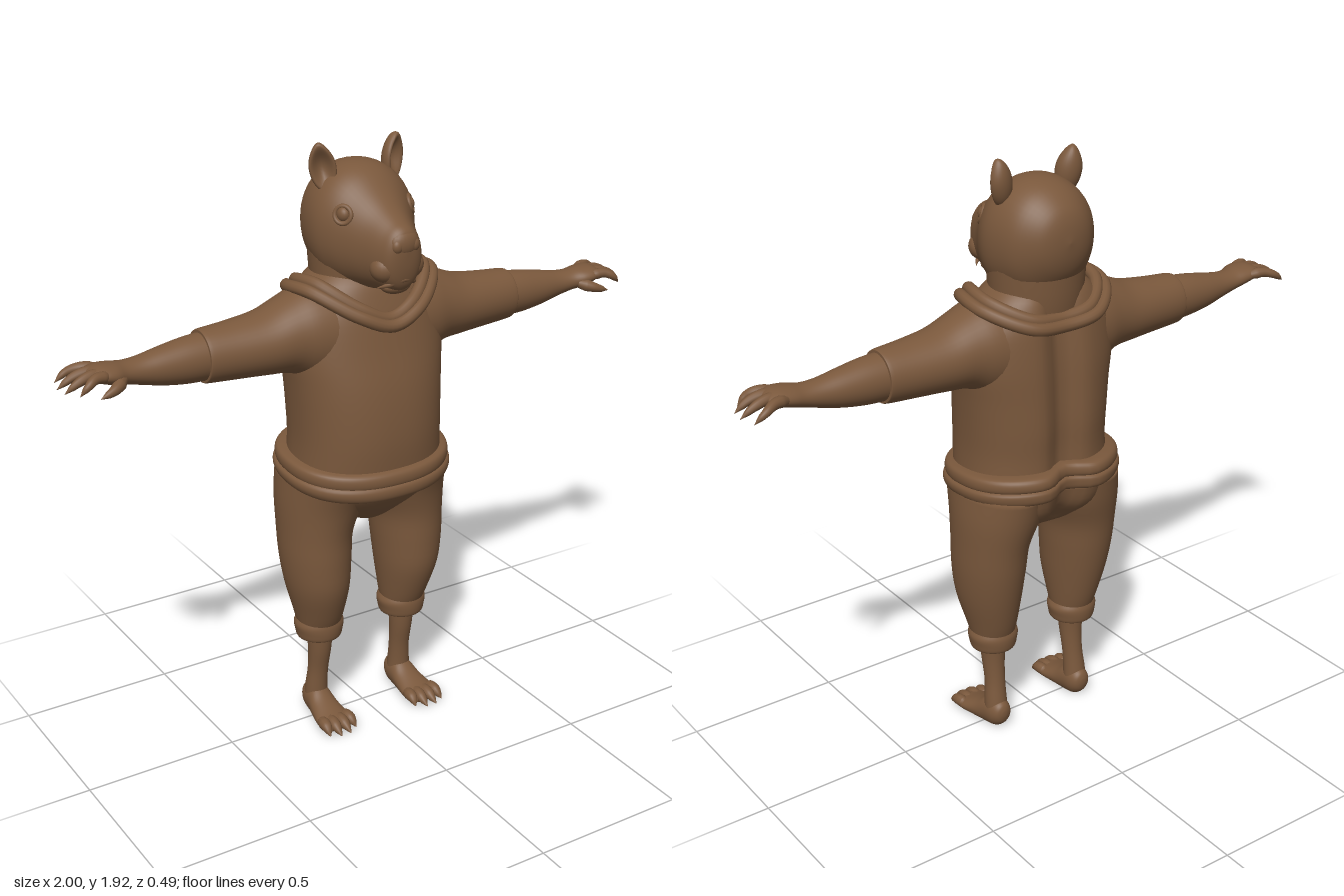
import * as THREE from 'three';
import { mergeVertices } from 'three/addons/utils/BufferGeometryUtils.js';

const fur = new THREE.MeshStandardMaterial({ color: 0x7a583c });
fur.name = 'warm brown';

const smooth = (g) => {
  g.deleteAttribute('uv');
  g.deleteAttribute('normal');
  const m = mergeVertices(g, 1e-5);
  m.computeVertexNormals();
  return m;
};

const cubic = (a, b, c, d, t) => b + 0.5 * t * (c - a + t * (2 * a - 5 * b + 4 * c - d + t * (3 * (b - c) + d - a)));

// Capped loft through [t, centreA, centreB, radiusA, radiusB] sections along an axis.
function loft(axis, rows, { power = 1, rule = null, seg = 40, steps = 4 } = {}) {
  const rings = [];
  for (let i = 0; i < rows.length - 1; i++) {
    const q = [rows[Math.max(i - 1, 0)], rows[i], rows[i + 1], rows[Math.min(i + 2, rows.length - 1)]];
    for (let k = 0; k < steps; k++) rings.push(rows[0].map((_, c) => cubic(q[0][c], q[1][c], q[2][c], q[3][c], k / steps)));
  }
  rings.push(rows[rows.length - 1]);
  const pts = [], idx = [];
  const add = (t, a, b) => {
    const p = axis === 'x' ? [t, a, b] : axis === 'y' ? [a, t, b] : [a, b, t];
    const v = new THREE.Vector3(...p);
    if (rule) rule(v);
    pts.push(v.x, v.y, v.z);
  };
  const bend = (v) => Math.sign(v) * Math.abs(v) ** power;
  for (const [t, a, b, ra, rb] of rings) {
    for (let j = 0; j < seg; j++) {
      const w = (j / seg) * Math.PI * 2;
      add(t, a + ra * bend(Math.cos(w)), b + rb * bend(Math.sin(w)));
    }
  }
  const first = rings[0], last = rings[rings.length - 1], n = rings.length;
  add(first[0], first[1], first[2]);
  add(last[0], last[1], last[2]);
  for (let j = 0; j < seg; j++) {
    const k = (j + 1) % seg;
    for (let i = 0; i < n - 1; i++) {
      const a = i * seg + j, b = i * seg + k;
      idx.push(a, b, b + seg, a, b + seg, a + seg);
    }
    idx.push(n * seg, k, j, n * seg + 1, (n - 1) * seg + j, (n - 1) * seg + k);
  }
  // Turn the faces outward whatever the axis and side.
  let volume = 0;
  const P = (i) => new THREE.Vector3().fromArray(pts, i * 3);
  for (let i = 0; i < idx.length; i += 3) volume += P(idx[i]).dot(P(idx[i + 1]).cross(P(idx[i + 2])));
  if (volume < 0) idx.reverse();
  const g = new THREE.BufferGeometry();
  g.setAttribute('position', new THREE.Float32BufferAttribute(pts, 3));
  g.setIndex(idx);
  return smooth(g);
}

// Tube along a curve whose radius follows a list; closed loops keep one radius.
function taper(points, radii, { closed = false, n = 24, m = 12 } = {}) {
  const curve = new THREE.CatmullRomCurve3(points.map((p) => new THREE.Vector3(...p)), closed);
  const g = new THREE.TubeGeometry(curve, n, 1, m, closed);
  const pos = g.attributes.position, v = new THREE.Vector3();
  for (let i = 0; i < pos.count; i++) {
    const u = Math.floor(i / (m + 1)) / n, c = curve.getPointAt(u);
    const f = u * (radii.length - 1), k = Math.min(Math.floor(f), Math.max(radii.length - 2, 0));
    const r = radii.length < 2 ? radii[0] : THREE.MathUtils.lerp(radii[k], radii[k + 1], f - k);
    v.fromBufferAttribute(pos, i).sub(c).multiplyScalar(r).add(c);
    pos.setXYZ(i, v.x, v.y, v.z);
  }
  return smooth(g);
}

// Soft groove down the middle of the back.
const groove = (depth, width, lift = 0) => (v) => {
  v.y -= lift * v.z;
  if (v.z < 0) v.z += depth * Math.exp(-((v.x / width) ** 2)) * Math.min(1, -v.z / 0.15);
};

export function createModel() {
  const model = new THREE.Group();
  const part = (name, g) => {
    const mesh = new THREE.Mesh(g, fur);
    mesh.name = name;
    model.add(mesh);
    return mesh;
  };
  const ball = (name, p, s) => {
    const mesh = part(name, new THREE.SphereGeometry(1, 24, 16));
    mesh.position.set(...p);
    mesh.scale.set(...s);
    return mesh;
  };

  // Clothing on the body
  part('sweater', loft('y', [
    [0.88, 0, 0, 0.25, 0.205], [1.0, 0, 0.007, 0.243, 0.207], [1.1, 0, 0.004, 0.246, 0.206],
    [1.2, 0, -0.001, 0.254, 0.197], [1.3, 0, -0.01, 0.265, 0.182], [1.4, 0, -0.017, 0.255, 0.165],
    [1.46, 0, -0.022, 0.22, 0.152], [1.51, 0, -0.025, 0.175, 0.135], [1.54, 0, -0.025, 0.14, 0.11],
  ], { power: 0.88, rule: groove(0.045, 0.05), seg: 64 }));
  const hemRule = groove(0.055, 0.06, 0.08);
  part('sweaterHem', loft('y', [
    [0.9, 0, 0, 0.255, 0.215], [0.912, 0, -0.006, 0.272, 0.235], [0.935, 0, -0.006, 0.276, 0.238],
    [0.952, 0, -0.004, 0.268, 0.228], [0.958, 0, 0, 0.24, 0.2],
  ], { power: 0.88, rule: hemRule, seg: 64 }));
  part('waistband', loft('y', [
    [0.86, 0, 0, 0.25, 0.205], [0.868, 0, -0.006, 0.27, 0.235], [0.89, 0, -0.006, 0.282, 0.243],
    [0.91, 0, -0.006, 0.278, 0.238], [0.918, 0, 0, 0.25, 0.21],
  ], { power: 0.88, rule: hemRule, seg: 64 }));
  part('trouserSeat', loft('y', [
    [0.7, 0, -0.01, 0.01, 0.02], [0.715, 0, -0.01, 0.06, 0.08], [0.76, 0, -0.012, 0.15, 0.135],
    [0.82, 0, -0.012, 0.235, 0.19], [0.89, 0, -0.005, 0.268, 0.22],
  ], { power: 0.9, rule: groove(0.05, 0.05), seg: 64 }));

  // V-shaped rolled collar, dropping again at the back
  const collar = (name, grow, drop, r) => {
    const half = [[0.1, 1.44, 0.148], [0.2, 1.508, 0.05], [0.205, 1.495, -0.07], [0.11, 1.45, -0.165]];
    const loop = [[0, 1.4, 0.165], ...half, [0, 1.435, -0.165], ...half.map(([x, y, z]) => [-x, y, z]).reverse()];
    part(name, taper(loop.map(([x, y, z]) => [x * grow, y - drop, z * grow]), [r], { closed: true, n: 96 }));
  };
  collar('innerCollar', 0.95, -0.012, 0.02);
  collar('outerCollar', 1.08, 0.006, 0.02);

  // Head and muzzle
  part('neck', loft('y', [[1.4, 0, -0.03, 0.14, 0.12], [1.5, 0, -0.03, 0.15, 0.135], [1.62, 0, -0.03, 0.16, 0.14]]));
  part('head', loft('z', [
    [-0.2, 0, 1.69, 0.004, 0.004], [-0.192, 0, 1.69, 0.055, 0.06], [-0.17, 0, 1.685, 0.1, 0.11],
    [-0.12, 0, 1.675, 0.146, 0.163], [-0.06, 0, 1.67, 0.166, 0.188], [0, 0, 1.665, 0.17, 0.192],
    [0.05, 0, 1.66, 0.154, 0.177], [0.1, 0, 1.645, 0.124, 0.152], [0.15, 0, 1.63, 0.096, 0.128],
    [0.2, 0, 1.618, 0.075, 0.108], [0.23, 0, 1.62, 0.06, 0.09], [0.245, 0, 1.635, 0.036, 0.055],
    [0.25, 0, 1.645, 0.004, 0.006],
  ], { power: 0.95, seg: 48 }));
  ball('nose', [0, 1.662, 0.226], [0.05, 0.042, 0.028]);
  ball('chin', [0, 1.525, 0.185], [0.05, 0.026, 0.034]);
  part('mouth', taper([[-0.072, 1.525, 0.185], [-0.045, 1.538, 0.212], [0, 1.555, 0.232], [0.045, 1.538, 0.212], [0.072, 1.525, 0.185]],
    [0, 0.009, 0.009, 0.009, 0]));

  for (const s of [1, -1]) {
    const side = s > 0 ? 'left' : 'right';
    const M = (rows) => rows.map(([x, ...r]) => [x * s, ...r]);

    // Face details
    ball(side + 'Cheek', [s * 0.038, 1.585, 0.19], [0.05, 0.045, 0.045]);
    ball(side + 'Nostril', [s * 0.028, 1.658, 0.236], [0.019, 0.022, 0.016]);
    ball(side + 'Eye', [s * 0.112, 1.73, 0.075], [0.02, 0.024, 0.024]);
    const lid = part(side + 'Eyelid', new THREE.TorusGeometry(0.026, 0.007, 10, 28));
    lid.position.set(s * 0.118, 1.73, 0.082);
    lid.rotation.set(-0.25, s * 0.95, 0, 'YXZ');

    // Cupped, pointed ear
    const ear = new THREE.SphereGeometry(1, 28, 24);
    const p = ear.attributes.position;
    for (let i = 0; i < p.count; i++) {
      const x = p.getX(i), y = p.getY(i), z = p.getZ(i);
      const w = y > 0 ? 1 - 0.35 * y * y : 1;
      p.setXYZ(i, x * w * 0.041, y * 0.075, z > 0 ? z * 0.035 - 0.05 * z * z * z : z * 0.035);
    }
    const earMesh = part(side + 'Ear', smooth(ear));
    earMesh.position.set(s * 0.124, 1.85, -0.022);
    earMesh.rotation.set(0, s * 0.45, s * -0.18);

    // Sleeve, forearm and hand
    part(side + 'Sleeve', loft('x', M([
      [0.1, 1.35, -0.012, 0.165, 0.145], [0.2, 1.358, -0.012, 0.149, 0.134], [0.27, 1.362, -0.012, 0.119, 0.118],
      [0.35, 1.351, -0.012, 0.099, 0.106], [0.45, 1.347, -0.013, 0.089, 0.092], [0.54, 1.346, -0.014, 0.083, 0.08],
      [0.552, 1.346, -0.014, 0.079, 0.075],
    ])));
    part(side + 'Forearm', loft('x', M([
      [0.52, 1.346, -0.014, 0.074, 0.07], [0.6, 1.344, -0.013, 0.07, 0.065], [0.68, 1.343, -0.012, 0.058, 0.056],
      [0.75, 1.345, -0.01, 0.043, 0.046], [0.8, 1.35, -0.006, 0.035, 0.046], [0.84, 1.358, 0, 0.033, 0.056],
      [0.88, 1.365, 0, 0.027, 0.057], [0.91, 1.365, -0.005, 0.017, 0.045], [0.92, 1.364, -0.005, 0.004, 0.02],
    ])));
    [[-0.042, -0.075, 0.985], [-0.014, -0.02, 1.0], [0.014, 0.025, 0.995], [0.038, 0.065, 0.965]].forEach(([z0, z1, tip], i) =>
      part(`${side}Finger${i + 1}`, taper(M([[0.86, 1.364, z0], [0.91, 1.37, (z0 + z1) / 2], [(0.91 + tip) / 2, 1.358, z1], [tip, 1.332, z1]]),
        [0.012, 0.018, 0.016, 0.014, 0.01, 0])));
    part(side + 'Thumb', taper(M([[0.82, 1.345, 0.035], [0.86, 1.333, 0.068], [0.91, 1.318, 0.08]]), [0.015, 0.02, 0.016, 0.011, 0]));

    // Trouser leg with gathered cuff
    part(side + 'TrouserLeg', loft('y', [
      [0.345, 0.16, -0.013, 0.07, 0.07], [0.4, 0.163, -0.01, 0.081, 0.092], [0.5, 0.17, -0.006, 0.1, 0.122],
      [0.6, 0.173, -0.012, 0.11, 0.137], [0.7, 0.17, -0.018, 0.115, 0.148], [0.8, 0.152, -0.02, 0.132, 0.172],
      [0.89, 0.14, -0.01, 0.135, 0.2],
    ].map(([y, x, ...r]) => [y, x * s, ...r])));
    part(side + 'Cuff', loft('y', [
      [0.3, s * 0.16, -0.014, 0.055, 0.055], [0.303, s * 0.16, -0.014, 0.072, 0.073], [0.325, s * 0.16, -0.014, 0.078, 0.079],
      [0.35, s * 0.16, -0.014, 0.082, 0.08], [0.368, s * 0.161, -0.013, 0.074, 0.076],
    ]));

    // Shin, foot and toes
    part(side + 'Shin', loft('y', [
      [0.04, s * 0.163, -0.035, 0.04, 0.04], [0.1, s * 0.163, -0.03, 0.037, 0.036], [0.17, s * 0.16, -0.022, 0.034, 0.034],
      [0.25, s * 0.159, -0.012, 0.038, 0.04], [0.34, s * 0.159, -0.01, 0.045, 0.047],
    ]));
    part(side + 'Foot', loft('z', [
      [-0.084, s * 0.163, 0.06, 0.008, 0.01], [-0.075, s * 0.163, 0.057, 0.028, 0.034], [-0.05, s * 0.163, 0.052, 0.04, 0.05],
      [-0.01, s * 0.164, 0.047, 0.044, 0.053], [0.03, s * 0.166, 0.035, 0.05, 0.04], [0.08, s * 0.168, 0.026, 0.058, 0.028],
      [0.12, s * 0.168, 0.022, 0.058, 0.02], [0.135, s * 0.168, 0.02, 0.045, 0.008],
    ], { rule: (v) => { v.y = Math.max(v.y, 0.002); } }));
    [[-0.046, 0.15], [-0.016, 0.172], [0.016, 0.172], [0.046, 0.155]].forEach(([x, z], i) =>
      part(`${side}Toe${i + 1}`, taper(M([[0.168 + x * 0.9, 0.03, 0.07], [0.168 + x, 0.03, 0.12], [0.168 + x * 1.1, 0.011, z]]),
        [0, 0.018, 0.02, 0.018, 0.011, 0.001])));
  }
  return model;
}
